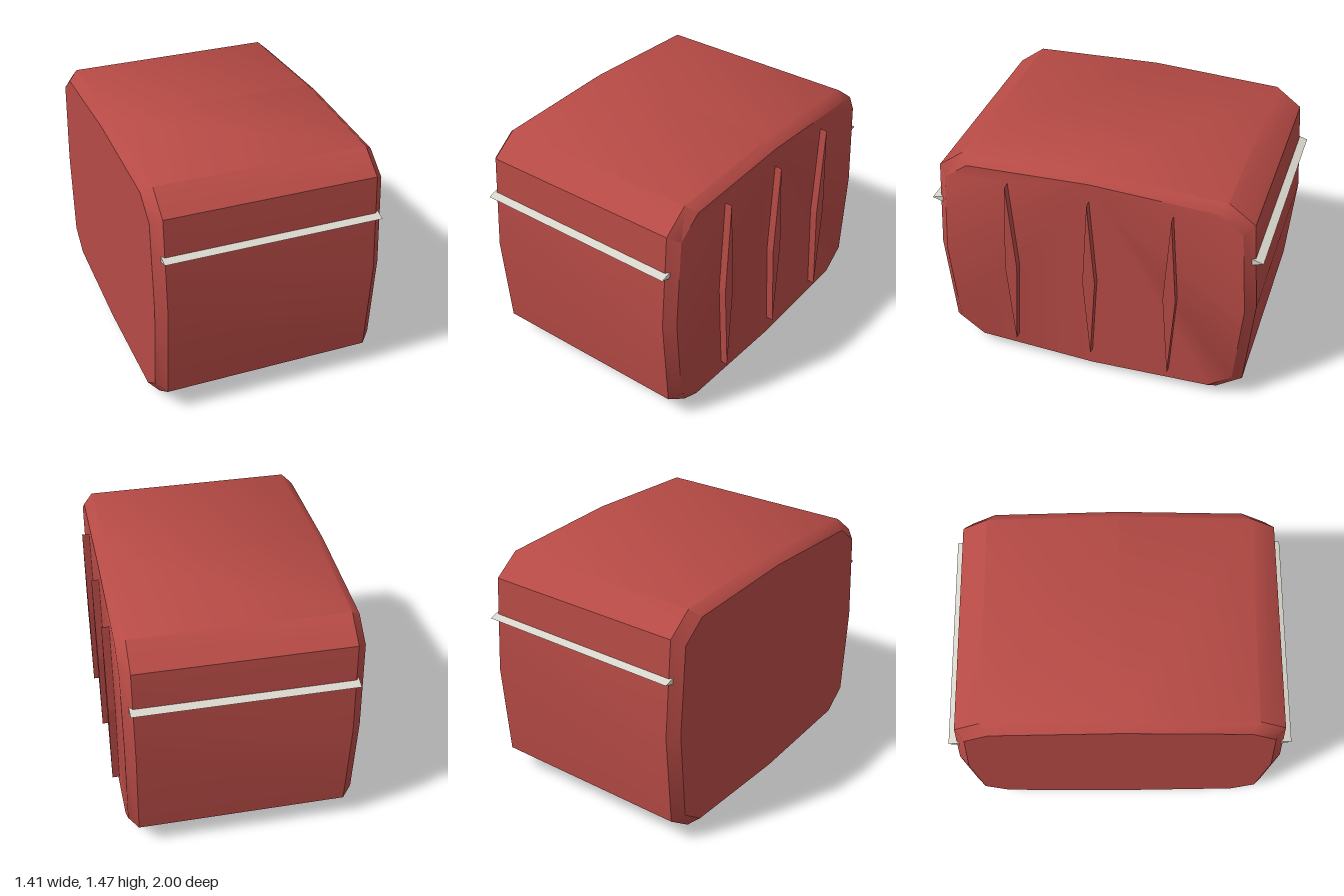
import * as THREE from 'three';
import { toCreasedNormals } from 'three/addons/utils/BufferGeometryUtils.js';

const MID = 0.735;

// Solid along x from sections { x, pts }, pts being [z, y] pairs running top -> front -> bottom -> back
function loft(sections, crease) {
  const n = sections[0].pts.length;
  const pos = [], idx = [];
  sections.forEach(({ x, pts }) => pts.forEach(([z, y]) => pos.push(x, y, z)));
  for (let s = 0; s < sections.length - 1; s++) {
    for (let j = 0; j < n; j++) {
      const a = s * n + j, b = s * n + (j + 1) % n;
      idx.push(a, b, b + n, a, b + n, a + n);
    }
  }
  // flat end caps
  const last = (sections.length - 1) * n;
  for (let j = 1; j < n - 1; j++) {
    idx.push(0, j + 1, j);
    idx.push(last, last + j, last + j + 1);
  }
  const geo = new THREE.BufferGeometry();
  geo.setAttribute('position', new THREE.Float32BufferAttribute(pos, 3));
  geo.setIndex(idx);
  return toCreasedNormals(geo, crease);
}

// Mirrors a quarter outline (top centre to front middle) into a full ring
function ring(quarter) {
  const front = [...quarter, ...quarter.slice(0, -1).reverse().map(([z, y]) => [z, 2 * MID - y])];
  const back = front.slice(1, -1).reverse().map(([z, y]) => [-z, y]);
  return [...front, ...back];
}

const diamond = (z, y, w, h) => [[z, y + h], [z + w, y], [z, y - h], [z - w, y]];

export function createModel() {
  const group = new THREE.Group();
  const red = new THREE.MeshStandardMaterial({ color: 0xb64a45 });
  red.name = 'red shell';
  const pale = new THREE.MeshStandardMaterial({ color: 0xd8d6cc });
  pale.name = 'pale trim';

  const add = (name, geo, mat) => {
    const mesh = new THREE.Mesh(geo, mat);
    mesh.name = name;
    group.add(mesh);
  };

  // Bulging box with bevelled ends
  const outer = ring([[0, 1.47], [0.78, 1.437], [0.935, 1.32], [0.98, MID]]);
  const inner = ring([[0, 1.422], [0.737, 1.39], [0.882, 1.28], [0.924, MID]]);
  add('body', loft([
    { x: -0.708, pts: inner },
    { x: -0.65, pts: outer },
    { x: 0.605, pts: outer },
    { x: 0.661, pts: inner },
  ], 0.72), red);

  // Three tapered ribs on the left side
  for (const [name, z, h] of [['frontRib', 0.49, 0.585], ['middleRib', 0, 0.57], ['backRib', -0.49, 0.585]]) {
    const pts = diamond(z, MID, 0.038, h);
    add(name, loft([{ x: 0.64, pts }, { x: 0.705, pts }], 0.1), red);
  }

  // Pointed trim strips across front and back
  for (const [name, side] of [['frontTrim', 1], ['backTrim', -1]]) {
    const pts = diamond(side * 0.935, 1.08, 0.065, 0.02);
    add(name, loft([{ x: -0.667, pts }, { x: 0.624, pts }], 0.1), pale);
  }

  return group;
}
